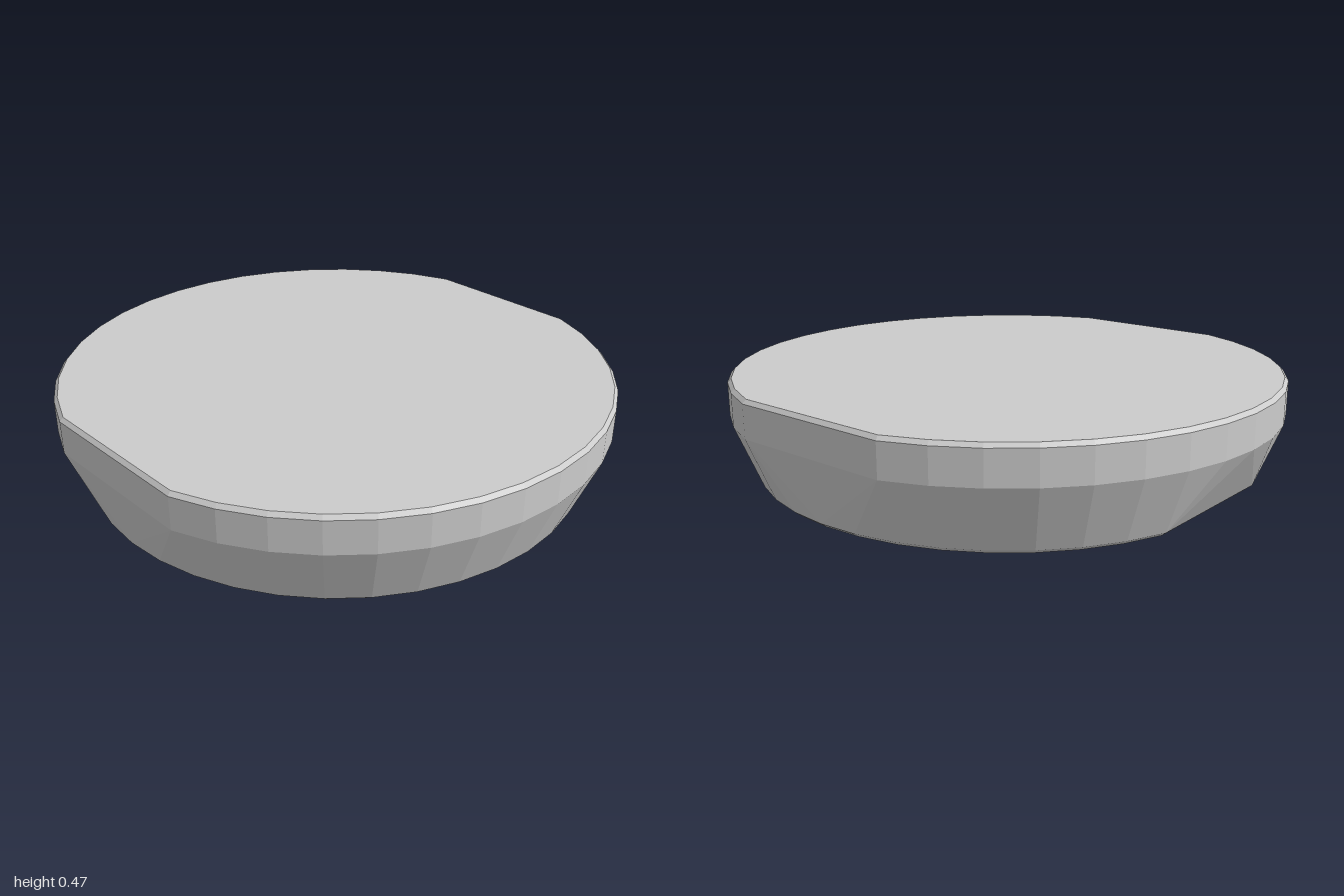
import * as THREE from 'three';
import { ConvexGeometry } from 'three/addons/geometries/ConvexGeometry.js';

const SIDES = 40;
const FLAT = 4; // sides replaced by one straight cut

// Ring of points around y; each entry of cuts is the index where a flat begins
function ring(radius, y, cuts) {
  const points = [];
  for (let i = 0; i < SIDES; i++) {
    if (cuts.some((c) => i > c && i < c + FLAT)) continue;
    const a = THREE.MathUtils.degToRad(1.8 + (i * 360) / SIDES);
    points.push(new THREE.Vector3(radius * Math.cos(a), y, radius * Math.sin(a)));
  }
  return points;
}

export function createModel() {
  const group = new THREE.Group();
  group.name = 'facetedDisc';

  const rimCuts = [10, 30]; // two opposite flats on the rim
  const baseCuts = [20]; // one flat on the lower edge
  const points = [
    // flat foot
    ...ring(0.415, 0, []),
    // bevelled lower edge
    ...ring(0.89, 0.094, baseCuts),
    ...ring(0.91, 0.11, baseCuts),
    // upright rim with bevelled top edge
    ...ring(1, 0.335, rimCuts),
    ...ring(1, 0.453, rimCuts),
    ...ring(0.987, 0.467, rimCuts),
  ];

  // The body is convex, so its facets are the hull of the rings
  const body = new THREE.Mesh(
    new ConvexGeometry(points),
    new THREE.MeshStandardMaterial({ color: 0xcccccc, flatShading: true })
  );
  body.name = 'discBody';
  group.add(body);
  return group;
}
